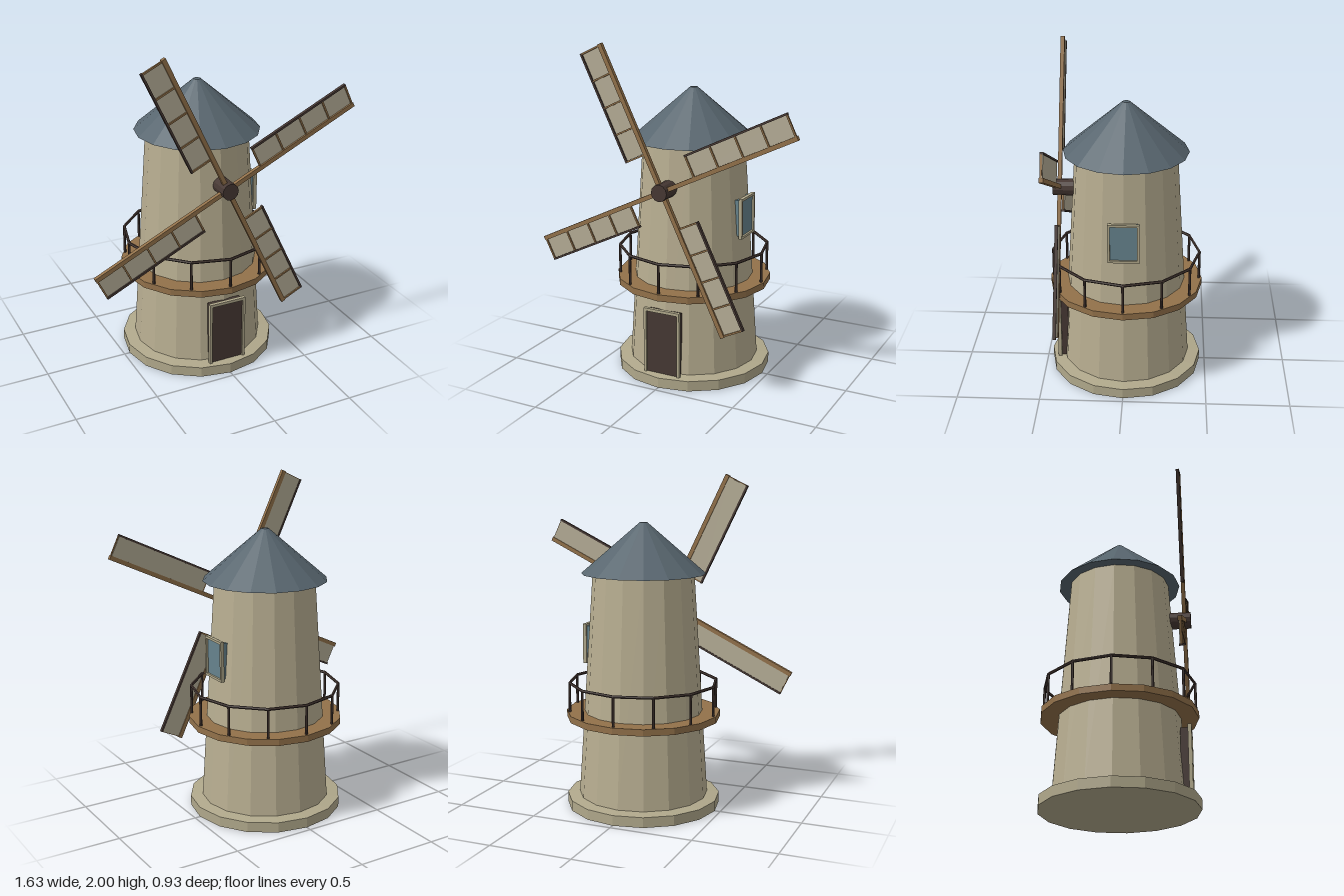
import * as THREE from 'three';

const mat = (name, color) => {
  const m = new THREE.MeshStandardMaterial({ color, flatShading: true });
  m.name = name;
  return m;
};

export function createModel() {
  const stone = mat('stone', 0xb8ae91);
  const trim = mat('trim', 0xb0a88b);
  const wood = mat('wood', 0x92714a);
  const dark = mat('darkTimber', 0x463833);
  const slate = mat('slate', 0x58666f);
  const glass = mat('glass', 0x66838d);
  const cloth = mat('sailcloth', 0xb5ad96);

  const model = new THREE.Group();
  model.name = 'windmill';

  const add = (parent, name, geometry, material, x = 0, y = 0, z = 0) => {
    const mesh = new THREE.Mesh(geometry, material);
    mesh.name = name;
    mesh.position.set(x, y, z);
    parent.add(mesh);
    return mesh;
  };
  const box = (parent, name, material, w, h, d, x, y, z) =>
    add(parent, name, new THREE.BoxGeometry(w, h, d), material, x, y, z);
  // Sixteen-sided drum between two heights
  const drum = (name, material, rBottom, rTop, y0, y1) =>
    add(model, name, new THREE.CylinderGeometry(rTop, rBottom, y1 - y0, 16), material, 0, (y0 + y1) / 2, 0);
  const group = (name, parent = model) => {
    const g = new THREE.Group();
    g.name = name;
    parent.add(g);
    return g;
  };

  // Masonry body, gallery deck and roof
  drum('plinth', trim, 0.466, 0.466, 0, 0.062);
  drum('plinthBevel', trim, 0.466, 0.392, 0.062, 0.07);
  drum('tower', stone, 0.393, 0.303, 0.06, 1.43);
  drum('galleryDeck', wood, 0.466, 0.466, 0.545, 0.585);
  drum('roof', slate, 0.372, 0.022, 1.42, 1.722);

  // Gallery railing: twelve posts and a twelve-sided handrail
  const railing = group('railing');
  for (let i = 0; i < 12; i++) {
    const a = (i / 12) * Math.PI * 2;
    add(railing, 'railingPost', new THREE.CylinderGeometry(0.008, 0.008, 0.185, 6), dark,
      Math.sin(a) * 0.448, 0.672, Math.cos(a) * 0.448);
  }
  add(railing, 'handrail', new THREE.TorusGeometry(0.448, 0.009, 6, 12), dark, 0, 0.763, 0).rotation.x = Math.PI / 2;

  // Door with a raised surround
  const door = group('door');
  box(door, 'doorLeaf', dark, 0.206, 0.385, 0.055, 0, 0.26, 0.384);
  for (const s of [-1, 1]) box(door, 'doorJamb', trim, 0.016, 0.4, 0.022, s * 0.109, 0.267, 0.411);
  box(door, 'doorLintel', trim, 0.234, 0.018, 0.022, 0, 0.461, 0.411);

  // Window on the left wall, built facing +z and turned
  const windowGroup = group('window');
  windowGroup.rotation.y = Math.PI / 2;
  box(windowGroup, 'windowPane', glass, 0.162, 0.216, 0.04, 0, 0.984, 0.328);
  for (const s of [-1, 1]) {
    box(windowGroup, 'windowJamb', trim, 0.014, 0.242, 0.022, s * 0.0855, 0.984, 0.349);
    box(windowGroup, 'windowRail', trim, 0.16, 0.014, 0.022, 0, 0.984 + s * 0.114, 0.349);
  }

  // Rotor: hub and four identical arms with sails
  const rotor = group('rotor');
  rotor.position.set(0, 1.18, 0.397);
  const hub = add(rotor, 'hub', new THREE.CylinderGeometry(0.05, 0.05, 0.126, 12), dark, 0, 0, -0.024);
  hub.rotation.x = Math.PI / 2;
  for (let i = 0; i < 4; i++) {
    const arm = group('sailArm', rotor);
    arm.rotation.z = 0.447 + (i * Math.PI) / 2;
    box(arm, 'spar', wood, 0.9, 0.026, 0.024, 0.45, 0, 0);
    box(arm, 'sail', cloth, 0.655, 0.122, 0.008, 0.565, 0.074, -0.003);
    box(arm, 'sailEdge', dark, 0.67, 0.012, 0.02, 0.562, 0.139, 0);
    for (let j = 0; j < 5; j++) {
      box(arm, 'sailBar', wood, 0.01, 0.125, 0.012, 0.232 + j * 0.165, 0.073, 0.003);
    }
  }
  return model;
}
